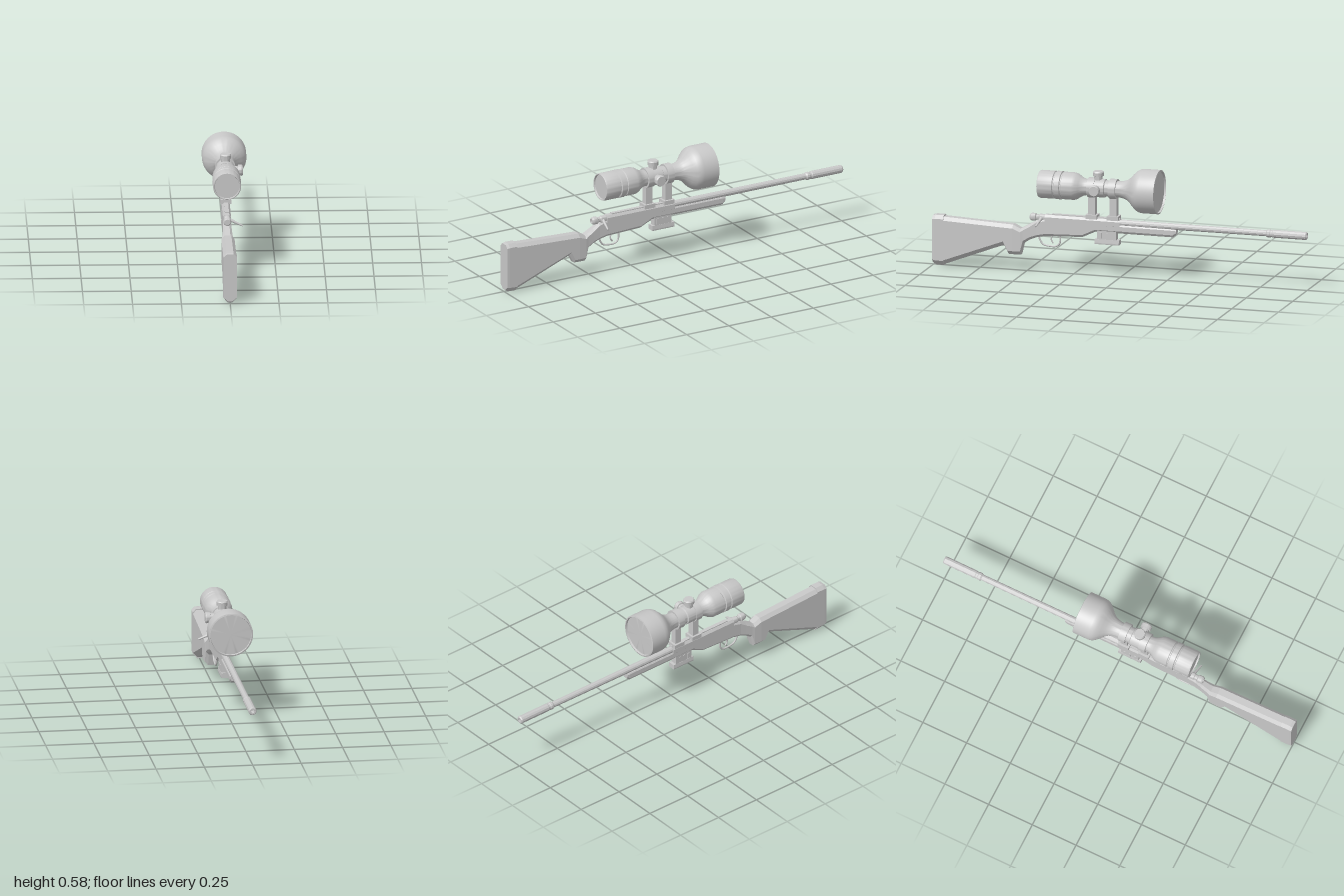
import * as THREE from 'three';
import { toCreasedNormals } from 'three/addons/utils/BufferGeometryUtils.js';

export function createModel() {
  const model = new THREE.Group();
  const grey = new THREE.MeshStandardMaterial({ color: 0xc8c8c8 });
  grey.name = 'plain grey';
  const BORE = 0.286, SIGHT = 0.462;

  const add = (name, geometry, x = 0, y = 0, z = 0, parent = model) => {
    const mesh = new THREE.Mesh(geometry, grey);
    mesh.name = name;
    mesh.position.set(x, y, z);
    parent.add(mesh);
    return mesh;
  };
  const box = (name, w, y0, y1, z0, z1) =>
    add(name, new THREE.BoxGeometry(w, y1 - y0, z1 - z0), 0, (y0 + y1) / 2, (z0 + z1) / 2);
  // Profile of [radius, z] pairs, z rising, turned around the z axis
  const turned = (profile, sides = 48, crease = 0.6) => {
    const g = new THREE.LatheGeometry(profile.map(([r, z]) => new THREE.Vector2(r, z)), sides);
    g.rotateX(Math.PI / 2);
    return toCreasedNormals(g, crease);
  };
  // Chamfered eight-point sections: [z, bottom, top, half width, bottom half, top half, bottom chamfer, top chamfer]
  const loft = (stations) => {
    const pos = [], index = [];
    stations.forEach(([z, b, t, w, wb, wt, cb, ct]) => pos.push(
      wb, b, z, w, b + cb, z, w, t - ct, z, wt, t, z,
      -wt, t, z, -w, t - ct, z, -w, b + cb, z, -wb, b, z));
    for (let s = 0; s < stations.length - 1; s++) {
      for (let i = 0; i < 8; i++) {
        const a = s * 8 + i, d = s * 8 + (i + 1) % 8;
        index.push(a, a + 8, d, d, a + 8, d + 8);
      }
    }
    const last = (stations.length - 1) * 8;
    for (let i = 1; i < 7; i++) {
      index.push(0, i, i + 1, last, last + i + 1, last + i);
    }
    const g = new THREE.BufferGeometry();
    g.setAttribute('position', new THREE.Float32BufferAttribute(pos, 3));
    g.setIndex(index);
    // stations run from the butt forwards, so flip the faces outwards when needed
    const flat = g.toNonIndexed();
    flat.computeVertexNormals();
    return flat;
  };

  // Stock: butt pad, comb, pistol grip, wrist and fore-end
  add('buttPad', loft([
    [1.0, 0.012, 0.26, 0.034, 0.012, 0.018, 0.02, 0.016],
    [0.985, 0.002, 0.264, 0.035, 0.012, 0.018, 0.026, 0.018],
    [0.94, 0.0, 0.264, 0.035, 0.012, 0.018, 0.026, 0.018],
  ].map(flipStation)));
  add('stock', loft([
    [0.94, 0.006, 0.257, 0.034, 0.012, 0.018, 0.024, 0.018],
    [0.62, 0.13, 0.243, 0.034, 0.012, 0.018, 0.022, 0.018],
    [0.595, 0.085, 0.242, 0.034, 0.014, 0.018, 0.02, 0.018],
    [0.57, 0.084, 0.241, 0.034, 0.014, 0.018, 0.02, 0.018],
    [0.53, 0.084, 0.222, 0.031, 0.014, 0.016, 0.02, 0.016],
    [0.515, 0.145, 0.23, 0.028, 0.012, 0.014, 0.016, 0.014],
    [0.48, 0.168, 0.25, 0.024, 0.012, 0.012, 0.014, 0.014],
    [0.445, 0.182, 0.27, 0.021, 0.012, 0.012, 0.012, 0.01],
    [0.4, 0.192, 0.279, 0.021, 0.012, 0.016, 0.012, 0.008],
    [0.2, 0.2, 0.279, 0.021, 0.012, 0.016, 0.012, 0.008],
    [0.13, 0.233, 0.277, 0.021, 0.012, 0.016, 0.012, 0.008],
    [-0.285, 0.232, 0.274, 0.02, 0.012, 0.016, 0.012, 0.006],
    [-0.302, 0.245, 0.272, 0.018, 0.01, 0.014, 0.01, 0.006],
  ].map(flipStation)));

  // Receiver, bolt and barrel
  add('receiver', loft([
    [0.4, 0.262, 0.304, 0.021, 0.018, 0.012, 0.006, 0.012],
    [0.0, 0.262, 0.304, 0.021, 0.018, 0.012, 0.006, 0.012],
  ].map(flipStation)));
  box('receiverRail', 0.02, 0.298, 0.309, 0.0, 0.365);
  add('bolt', turned([[0, 0.37], [0.018, 0.37], [0.018, 0.43], [0.014, 0.435], [0.014, 0.448],
    [0.02, 0.453], [0.02, 0.474], [0.015, 0.482], [0.009, 0.482], [0.009, 0.478], [0, 0.478]], 24), 0, BORE, 0);
  const handle = (name, from, to, r0, r1) => {
    const a = new THREE.Vector3(...from), b = new THREE.Vector3(...to);
    const mid = a.clone().add(b).multiplyScalar(0.5);
    const mesh = add(name, new THREE.CylinderGeometry(r1, r0, a.distanceTo(b), 16), mid.x, mid.y, mid.z);
    mesh.quaternion.setFromUnitVectors(new THREE.Vector3(0, 1, 0), b.sub(a).normalize());
  };
  handle('boltHandle', [0.01, 0.285, 0.42], [0.08, 0.254, 0.43], 0.009, 0.004);
  add('barrel', turned([[0, -0.81], [0.016, -0.81], [0.018, 0.02], [0, 0.02]], 12, 0.3), 0, BORE, 0);
  add('muzzleBrake', turned([[0, -0.96], [0.009, -0.96], [0.009, -1.0], [0.017, -1.0], [0.021, -0.994],
    [0.021, -0.82], [0.019, -0.815], [0.019, -0.807], [0.021, -0.802],
    [0.021, -0.79], [0.016, -0.782], [0, -0.782]], 12, 0.3), 0, BORE, 0);

  // Magazine with a flared foot and side ribs
  box('magazineBody', 0.036, 0.185, 0.25, 0.018, 0.12);
  add('magazineFoot', loft([
    [0.132, 0.17, 0.196, 0.021, 0.02, 0.019, 0.004, 0.018],
    [0.003, 0.17, 0.196, 0.021, 0.02, 0.019, 0.004, 0.018],
  ].map(flipStation)));
  for (const side of [-1, 1]) {
    for (const z of [0.04, 0.07, 0.1]) {
      add('magazineRib', new THREE.BoxGeometry(0.004, 0.03, 0.012), side * 0.019, 0.216, z);
    }
  }

  // Trigger guard and trigger
  const path = (...pts) => new THREE.CatmullRomCurve3(pts.map(([y, z]) => new THREE.Vector3(0, y, z)));
  add('triggerGuard', new THREE.TubeGeometry(path([0.195, 0.438], [0.172, 0.433], [0.146, 0.415],
    [0.138, 0.38], [0.139, 0.345], [0.155, 0.326], [0.2, 0.322]), 32, 0.005, 8));
  add('trigger', new THREE.TubeGeometry(path([0.2, 0.365], [0.18, 0.37], [0.165, 0.368], [0.153, 0.358]), 12, 0.004, 8));

  // Telescopic sight
  const scope = new THREE.Group();
  scope.name = 'scope';
  scope.position.y = SIGHT;
  model.add(scope);
  add('scopeBody', turned([
    [0, -0.202], [0.105, -0.202], [0.107, -0.212], [0.114, -0.21], [0.114, -0.125], [0.111, -0.108],
    [0.102, -0.092], [0.085, -0.074], [0.066, -0.057], [0.053, -0.04], [0.046, -0.022], [0.042, 0],
    [0.042, 0.18], [0.046, 0.197], [0.055, 0.212], [0.066, 0.228], [0.071, 0.245], [0.071, 0.3],
    [0.067, 0.303], [0.067, 0.308], [0.073, 0.311], [0.073, 0.338], [0.067, 0.341], [0.067, 0.346],
    [0.072, 0.349], [0.072, 0.422], [0.069, 0.43], [0.065, 0.43], [0.063, 0.422], [0, 0.422],
  ], 64), 0, 0, 0, scope);
  add('turretSaddle', turned([[0.04, 0.075], [0.048, 0.08], [0.048, 0.166], [0.04, 0.171]]), 0, 0, 0, scope);

  // Elevation and windage turrets
  const turretProfile = [[0.022, 0.03], [0.022, 0.062], [0.028, 0.064], [0.029, 0.082], [0.025, 0.088], [0, 0.088]];
  const top = add('elevationTurret', turned(turretProfile, 32), 0, 0, 0.118, scope);
  top.rotation.x = -Math.PI / 2;
  const side = add('windageTurret', turned(turretProfile, 32), 0, 0, 0.118, scope);
  side.rotation.y = Math.PI / 2;

  // Scope mounts: ring, post and clamp plate
  for (const z of [0.15, 0.035]) {
    add('mountRing', turned([[0.04, z - 0.019], [0.052, z - 0.019], [0.052, z + 0.019], [0.04, z + 0.019]]), 0, 0, 0, scope);
    box('mountPost', 0.034, 0.315, 0.425, z - 0.019, z + 0.019);
    box('mountPlate', 0.056, 0.3, 0.322, z - 0.03, z + 0.03);
  }
  return model;
}

// Keeps the chamfers from crossing on shallow sections
function flipStation([z, b, t, w, wb, wt, cb, ct]) {
  const k = Math.min(1, (t - b) * 0.9 / (cb + ct));
  return [z, b, t, w, wb, wt, cb * k, ct * k];
}
